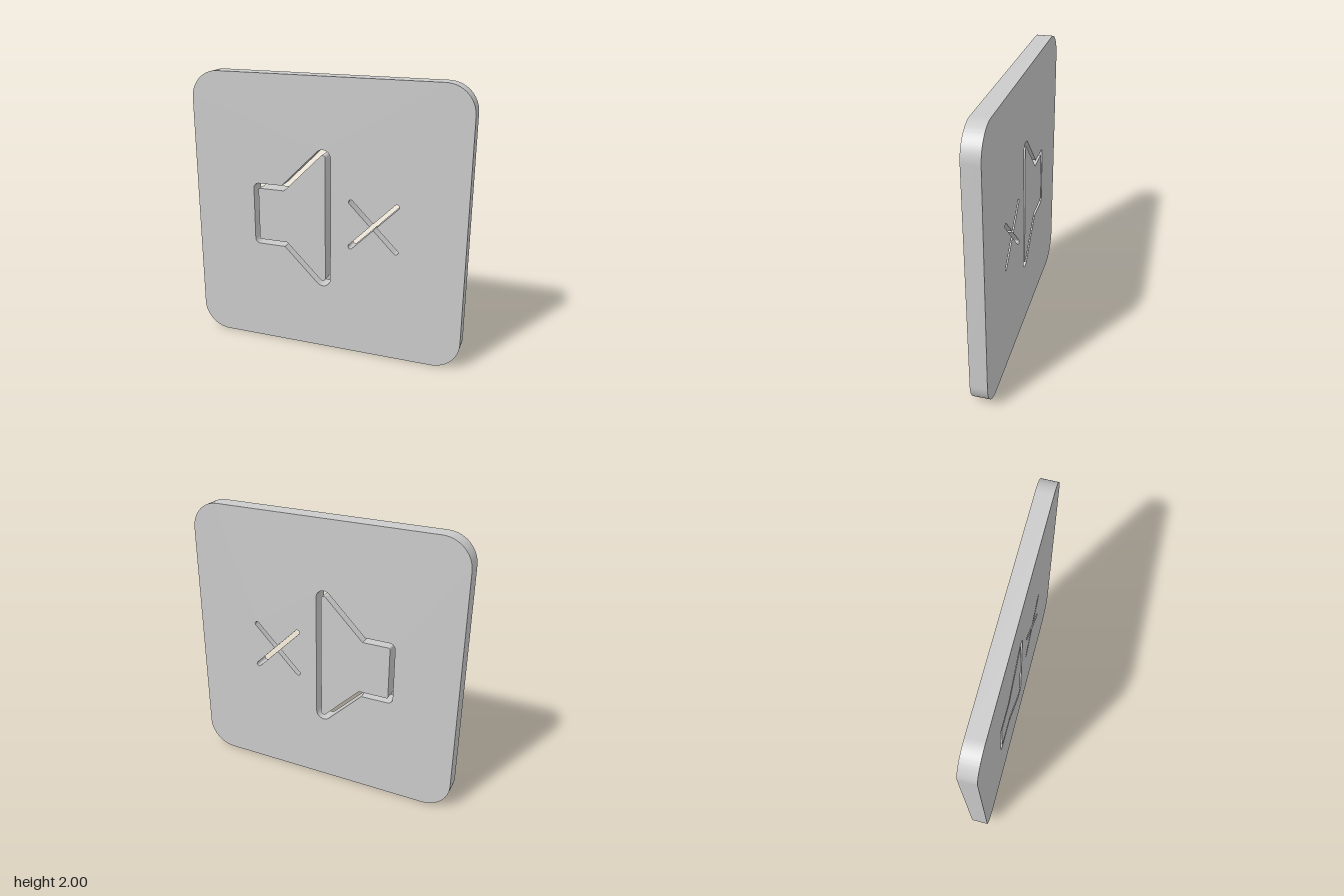
import * as THREE from 'three';
import { toCreasedNormals } from 'three/addons/utils/BufferGeometryUtils.js';

const DEPTH = 0.12;

// Trace a closed outline through [x, y, cornerRadius] points
function roundedOutline(path, corners) {
  const n = corners.length;
  corners.forEach(([x, y, r], i) => {
    if (!r) {
      if (i === 0) path.moveTo(x, y);
      else path.lineTo(x, y);
      return;
    }
    const p = new THREE.Vector2(x, y);
    const toward = (q) => new THREE.Vector2(q[0], q[1]).sub(p).normalize();
    const u = toward(corners[(i + n - 1) % n]);
    const v = toward(corners[(i + 1) % n]);
    const half = Math.acos(u.dot(v)) / 2;
    const c = u.clone().add(v).normalize().multiplyScalar(r / Math.sin(half)).add(p);
    const a = u.clone().multiplyScalar(r / Math.tan(half)).add(p).sub(c);
    const b = v.clone().multiplyScalar(r / Math.tan(half)).add(p).sub(c);
    path.absarc(c.x, c.y, r, a.angle(), b.angle(), u.cross(v) > 0);
  });
  return path;
}

// Two crossed round-ended slots as one outline
function crossOutline(x, y, reach, w) {
  const path = new THREE.Path();
  for (let k = 0; k < 4; k++) {
    const a = Math.PI / 4 + k * Math.PI / 2;
    path.absarc(x + reach * Math.cos(a), y + reach * Math.sin(a), w, a - Math.PI / 2, a + Math.PI / 2, false);
    const b = a + Math.PI / 4;
    path.lineTo(x + w * Math.SQRT2 * Math.cos(b), y + w * Math.SQRT2 * Math.sin(b));
  }
  return path;
}

// Horn silhouette, counter-clockwise from the upper right tip
function hornCorners({ right, left, tipTop, tipBottom, boxTop, boxBottom, kneeTop, kneeBottom, tipR, boxR }) {
  return [
    [right, tipTop, tipR],
    [kneeTop, boxTop, 0],
    [left, boxTop, boxR],
    [left, boxBottom, boxR],
    [kneeBottom, boxBottom, 0],
    [right, tipBottom, tipR],
  ];
}

export function createModel() {
  const group = new THREE.Group();
  const material = new THREE.MeshStandardMaterial({ color: 0xcccccc });

  const addSlab = (name, shape) => {
    const geometry = new THREE.ExtrudeGeometry(shape, { depth: DEPTH, bevelEnabled: false, curveSegments: 16 });
    geometry.translate(0, 0, -DEPTH / 2);
    const mesh = new THREE.Mesh(toCreasedNormals(geometry, 0.5), material);
    mesh.name = name;
    group.add(mesh);
  };

  // Rounded square plate with the horn and cross cut through it
  const plate = roundedOutline(new THREE.Shape(), [[1, 0, 0.2], [1, 2, 0.2], [-1, 2, 0.2], [-1, 0, 0.2]]);
  plate.holes.push(
    roundedOutline(new THREE.Path(), hornCorners({
      right: 0.042, left: -0.543, tipTop: 1.584, tipBottom: 0.408, boxTop: 1.217, boxBottom: 0.757,
      kneeTop: -0.325, kneeBottom: -0.309, tipR: 0.058, boxR: 0.04,
    })),
    crossOutline(0.355, 0.988, 0.232, 0.017),
  );
  addSlab('plate', plate);

  // Loose horn-shaped piece inside the slot
  addSlab('hornInsert', roundedOutline(new THREE.Shape(), hornCorners({
    right: 0.004, left: -0.507, tipTop: 1.492, tipBottom: 0.5, boxTop: 1.18, boxBottom: 0.792,
    kneeTop: -0.308, kneeBottom: -0.29, tipR: 0.02, boxR: 0.01,
  })));

  return group;
}
